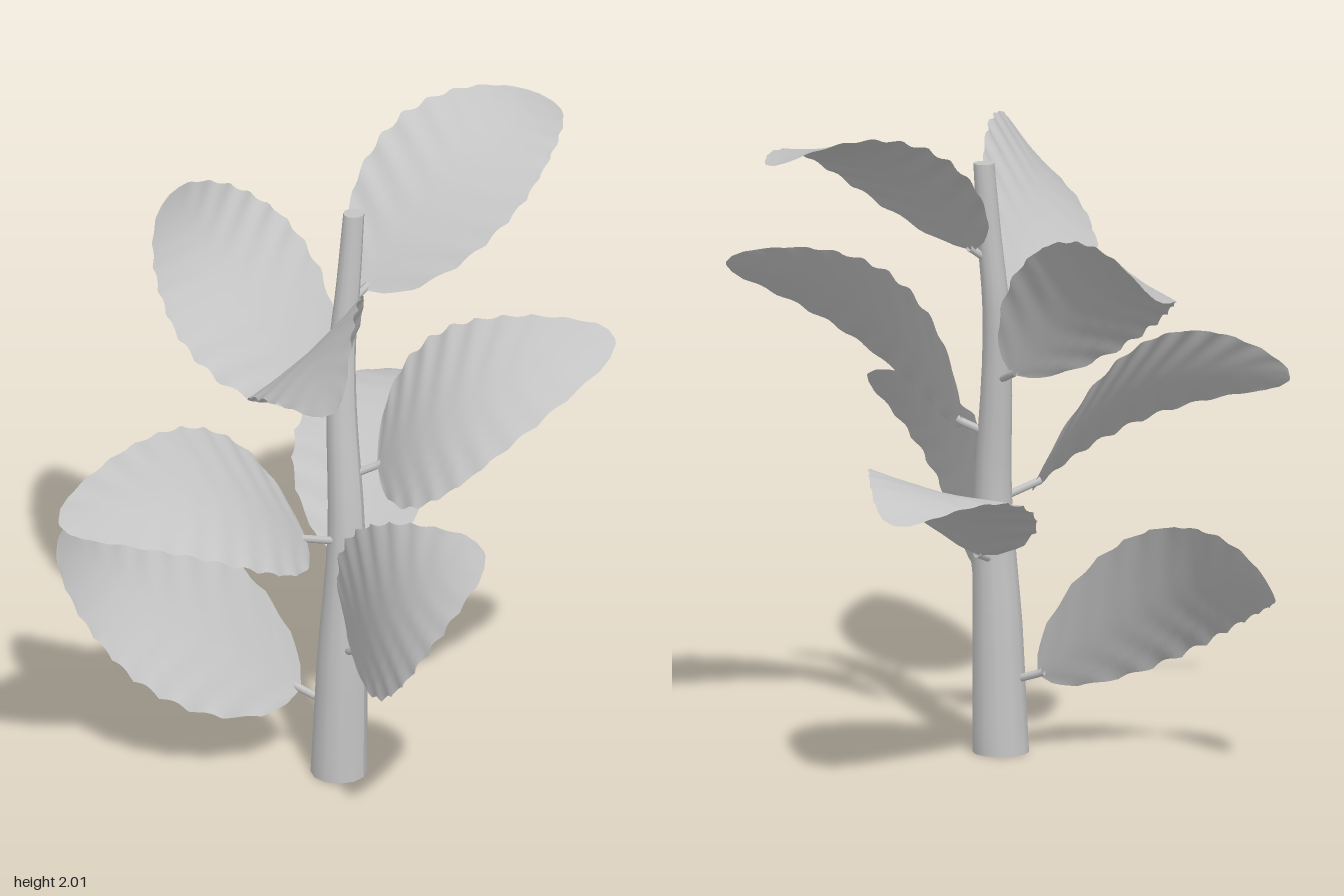
import * as THREE from 'three';

const V = (a) => new THREE.Vector3(...a);

// Stem centre line: x, y, z, radius
const STEM = [
  [0.08, 0, 0.058, 0.086], [0.09, 0.4, 0.055, 0.076], [0.097, 0.8, 0.042, 0.057],
  [0.062, 1.2, 0.01, 0.046], [0.052, 1.4, -0.012, 0.041], [0.062, 1.6, -0.03, 0.037], [0.072, 1.84, -0.047, 0.032],
];

// Each leaf: blade base, tip, and the two edge points at its widest place
const LEAVES = [
  [[0.07, 0.635, -0.08], [-0.15, 0.89, -0.88], [-0.33, 0.865, -0.4], [0.16, 0.95, -0.53]],
  [[0.09, 1.575, -0.08], [0.32, 1.94, -0.83], [-0.03, 1.94, -0.45], [0.49, 1.82, -0.31]],
  [[0.17, 1.025, -0.02], [0.84, 1.485, -0.3], [0.33, 1.47, -0.15], [0.54, 1.1, 0.165]],
  [[0.16, 0.455, 0.125], [0.76, 1.035, 0.36], [0.23, 0.92, 0.21], [0.57, 0.6, 0.52]],
  [[0.115, 1.37, 0.18], [0.53, 1.68, 0.875], [0.365, 1.82, 0.395], [0.025, 1.43, 0.51]],
  [[0.025, 0.82, 0.165], [-0.43, 1.065, 0.875], [-0.225, 1.24, 0.4], [0.04, 0.87, 0.54]],
  [[-0.05, 0.255, 0.07], [-0.855, 0.59, 0.13], [-0.38, 0.715, 0.11], [-0.4, 0.305, 0.4]],
  [[-0.03, 1.2, -0.045], [-0.745, 1.565, -0.35], [-0.25, 1.64, -0.24], [-0.42, 1.35, 0.14]],
];

// Half width of the blade along its length, as a fraction of the widest
const OUTLINE = [[0, 0.05], [0.02, 0.3], [0.06, 0.52], [0.14, 0.77], [0.24, 0.94], [0.36, 1.01], [0.48, 0.99],
  [0.62, 0.86], [0.75, 0.69], [0.87, 0.48], [0.95, 0.3], [0.985, 0.17], [1, 0.03]];

function sample(table, t, col, key = 0) {
  let i = 1;
  while (i < table.length - 1 && table[i][key] < t) i++;
  const a = table[i - 1], b = table[i];
  return THREE.MathUtils.lerp(a[col], b[col], (t - a[key]) / (b[key] - a[key]));
}

const stemAt = (y) => new THREE.Vector3(sample(STEM, y, 0, 1), y, sample(STEM, y, 2, 1));

// Quadrilateral grid from a point function
function gridGeometry(nu, nv, point) {
  const pos = [], index = [];
  for (let i = 0; i <= nu; i++) {
    for (let j = 0; j <= nv; j++) pos.push(...point(i / nu, j / nv).toArray());
  }
  for (let i = 0; i < nu; i++) {
    for (let j = 0; j < nv; j++) {
      const a = i * (nv + 1) + j, b = a + nv + 1;
      index.push(a, b, a + 1, b, b + 1, a + 1);
    }
  }
  const g = new THREE.BufferGeometry();
  g.setAttribute('position', new THREE.Float32BufferAttribute(pos, 3));
  g.setIndex(index);
  g.computeVertexNormals();
  return g;
}

// Arched blade with a slightly sunken midrib, rippled side veins and a scalloped rim
function bladeGeometry([base, tip, edgeA, edgeB], phase) {
  const p0 = V(base), p1 = V(tip), a = V(edgeA), b = V(edgeB);
  const mid = a.clone().add(b).multiplyScalar(0.5);
  const half = b.clone().sub(a).multiplyScalar(0.5);
  const up = half.clone().cross(p1.clone().sub(p0)).normalize();
  if (up.y < 0) up.negate();
  const m = 0.42;
  return gridGeometry(60, 10, (u, s) => {
    const v = s * 2 - 1;
    const p = p0.clone().multiplyScalar((u - m) * (u - 1) / m)
      .addScaledVector(mid, u * (u - 1) / (m * (m - 1)))
      .addScaledVector(p1, u * (u - m) / (1 - m));
    const w = sample(OUTLINE, u, 1);
    const tooth = 1 - 0.05 * Math.abs(Math.sin(u * Math.PI * 10 + phase)) * Math.abs(v) ** 3;
    const ripple = 0.005 * Math.sin((u - 0.12 * Math.abs(v)) * Math.PI * 18 + phase) * Math.abs(v) * w;
    return p.addScaledVector(half, v * w * tooth)
      .addScaledVector(up, 0.015 * (Math.abs(v) ** 1.5 - 0.5) * w + ripple);
  });
}

export function createModel() {
  const plant = new THREE.Group();
  plant.name = 'plant';
  const grey = new THREE.MeshStandardMaterial({ color: 0xc4c4c4, side: THREE.DoubleSide });
  grey.name = 'light grey';
  const add = (parent, geometry, name) => {
    const mesh = new THREE.Mesh(geometry, grey);
    mesh.name = name;
    parent.add(mesh);
  };

  // Tapered, gently bent stem with end caps
  const curve = new THREE.CatmullRomCurve3(STEM.map((p) => V(p.slice(0, 3))));
  add(plant, gridGeometry(24, 12, (u, s) => {
    const c = curve.getPoint(u), angle = -s * Math.PI * 2;
    const r = sample(STEM, Math.min(Math.max(c.y, 0), 1.84), 3, 1);
    return c.add(new THREE.Vector3(Math.cos(angle) * r, 0, Math.sin(angle) * r));
  }), 'stem');
  for (const [end, name, turn] of [[STEM[0], 'stemBottom', 1], [STEM[6], 'stemTop', -1]]) {
    const cap = new THREE.CircleGeometry(end[3], 12).rotateX(turn * Math.PI / 2);
    add(plant, cap.translate(end[0], end[1], end[2]), name);
  }

  // Leaves, each on a short rising stalk
  LEAVES.forEach((data, i) => {
    const leaf = new THREE.Group();
    leaf.name = 'leaf' + (i + 1);
    const base = V(data[0]);
    const root = stemAt(base.y - 0.045);
    const knee = root.clone().lerp(base, 0.7);
    const inner = base.clone().lerp(V(data[1]), 0.02);
    const path = new THREE.CatmullRomCurve3([root, knee, base, inner]);
    add(leaf, new THREE.TubeGeometry(path, 10, 0.012, 7), 'stalk');
    add(leaf, bladeGeometry(data, i * 0.7), 'blade');
    plant.add(leaf);
  });
  return plant;
}
